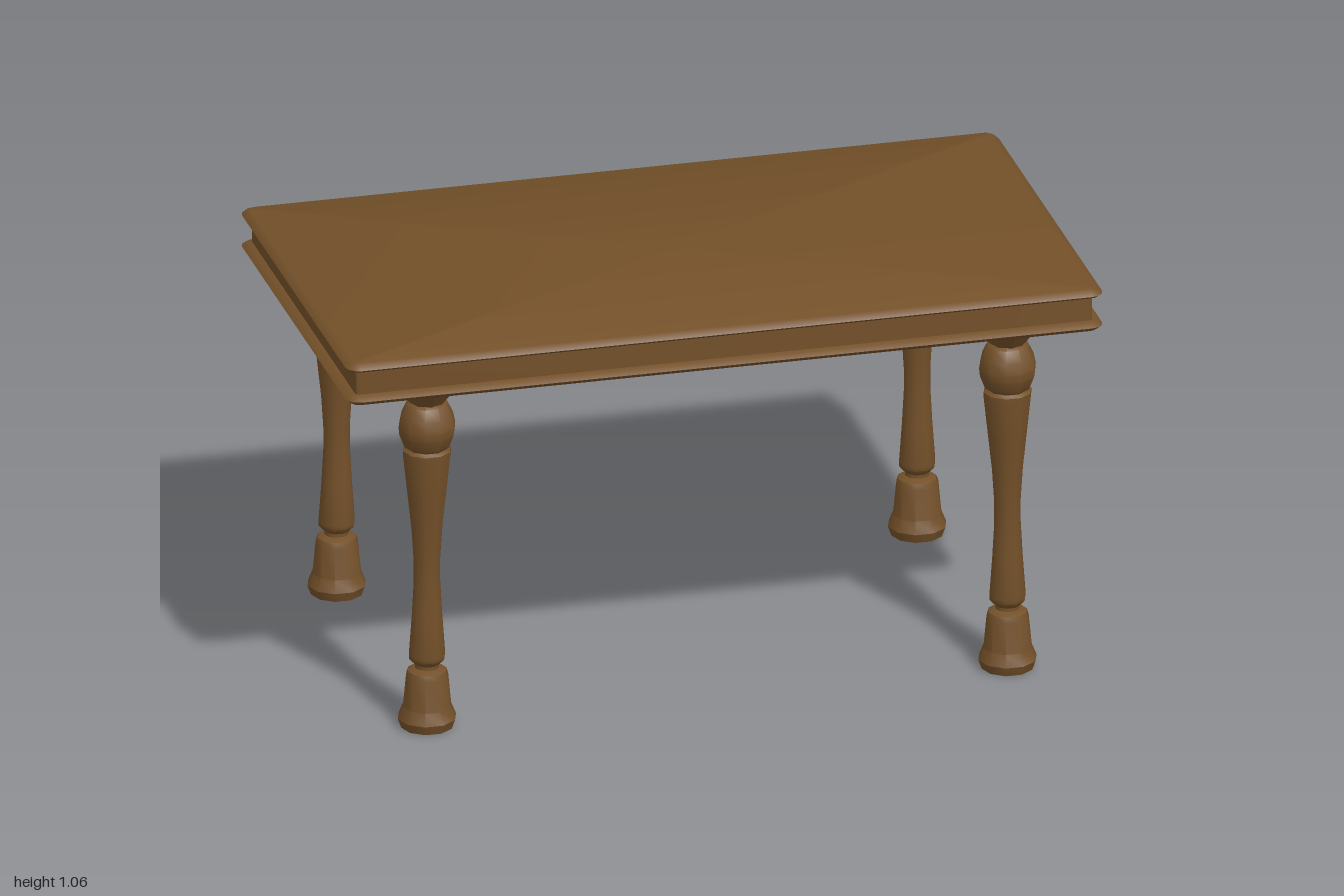
import * as THREE from 'three';
import { toCreasedNormals } from 'three/addons/utils/BufferGeometryUtils.js';

const wood = new THREE.MeshStandardMaterial({ color: 0x735029 });
const HALF_X = 1, HALF_Z = 0.555, CORNER = 0.035, CORNER_STEPS = 3;

function part(name, geometry, crease) {
  const mesh = new THREE.Mesh(toCreasedNormals(geometry, crease), wood);
  mesh.name = name;
  return mesh;
}

// Rounded rectangle, pulled in by an inset, as a loop of points at height y
function outline(y, inset) {
  const r = CORNER - inset, loop = [];
  [[1, 1], [-1, 1], [-1, -1], [1, -1]].forEach(([sx, sz], k) => {
    for (let i = 0; i <= CORNER_STEPS; i++) {
      const a = (k + i / CORNER_STEPS) * Math.PI / 2;
      loop.push([sx * (HALF_X - CORNER) + r * Math.cos(a), y, sz * (HALF_Z - CORNER) + r * Math.sin(a)]);
    }
  });
  return loop;
}

// Skin a top-to-bottom moulding profile of [y, inset] and close both ends
function moulding(profile) {
  const loops = profile.map(([y, inset]) => outline(y, inset));
  const n = loops[0].length, last = loops.length - 1, index = [];
  const top = n * loops.length, bottom = top + 1;
  for (let j = 0; j < n; j++) {
    const k = (j + 1) % n;
    for (let i = 0; i < last; i++) {
      const a = i * n + j, b = i * n + k;
      index.push(a, b, a + n, b, b + n, a + n);
    }
    index.push(top, k, j, bottom, last * n + j, last * n + k);
  }
  const points = [...loops.flat(), [0, profile[0][0], 0], [0, profile[last][0], 0]];
  const geometry = new THREE.BufferGeometry();
  geometry.setAttribute('position', new THREE.Float32BufferAttribute(points.flat(), 3));
  geometry.setIndex(index);
  return geometry;
}

// Ten-sided turned piece from [radius, y] points, bottom to top
function turned(name, profile) {
  const points = profile.map(([r, y]) => new THREE.Vector2(r, y));
  return part(name, new THREE.LatheGeometry(points, 10, Math.PI / 2), 0.66);
}

function createLeg() {
  const leg = new THREE.Group();
  leg.add(turned('foot', [
    [0, 0], [0.068, 0], [0.077, 0.025], [0.064, 0.057], [0.056, 0.14],
    [0.051, 0.155], [0.033, 0.163], [0, 0.163],
  ]));
  leg.add(turned('shaft', [
    [0, 0.155], [0.032, 0.155], [0.032, 0.172], [0.047, 0.188], [0.048, 0.2],
    [0.04, 0.31], [0.035, 0.4], [0.035, 0.46], [0.041, 0.55], [0.052, 0.65],
    [0.063, 0.752], [0.063, 0.765], [0.054, 0.772], [0, 0.772],
  ]));
  leg.add(turned('bulb', [
    [0, 0.768], [0.051, 0.77], [0.06, 0.778], [0.073, 0.812], [0.075, 0.833],
    [0.069, 0.862], [0.054, 0.893], [0.04, 0.9], [0, 0.9],
  ]));
  // Flared eight-sided capital under the top
  const capital = part('capital', new THREE.CylinderGeometry(0.083, 0.042, 0.05, 8), 0.5);
  capital.position.y = 0.92;
  leg.add(capital);
  return leg;
}

export function createModel() {
  const table = new THREE.Group();
  table.name = 'table';

  // Top slab with a projecting lip above and below a recessed apron
  table.add(part('tableTop', moulding([
    [1.056, 0.022], [1.05, 0.009], [1.042, 0], [1.034, 0.011], [1.028, 0.026],
    [0.967, 0.026], [0.964, 0.013], [0.955, 0], [0.947, 0.009], [0.94, 0.02],
  ]), 0.55));

  for (const [name, x, z] of [
    ['frontLeftLeg', 1, 1], ['frontRightLeg', -1, 1],
    ['backLeftLeg', 1, -1], ['backRightLeg', -1, -1],
  ]) {
    const leg = createLeg();
    leg.name = name;
    leg.position.set(x * 0.767, 0, z * 0.455);
    table.add(leg);
  }
  return table;
}
